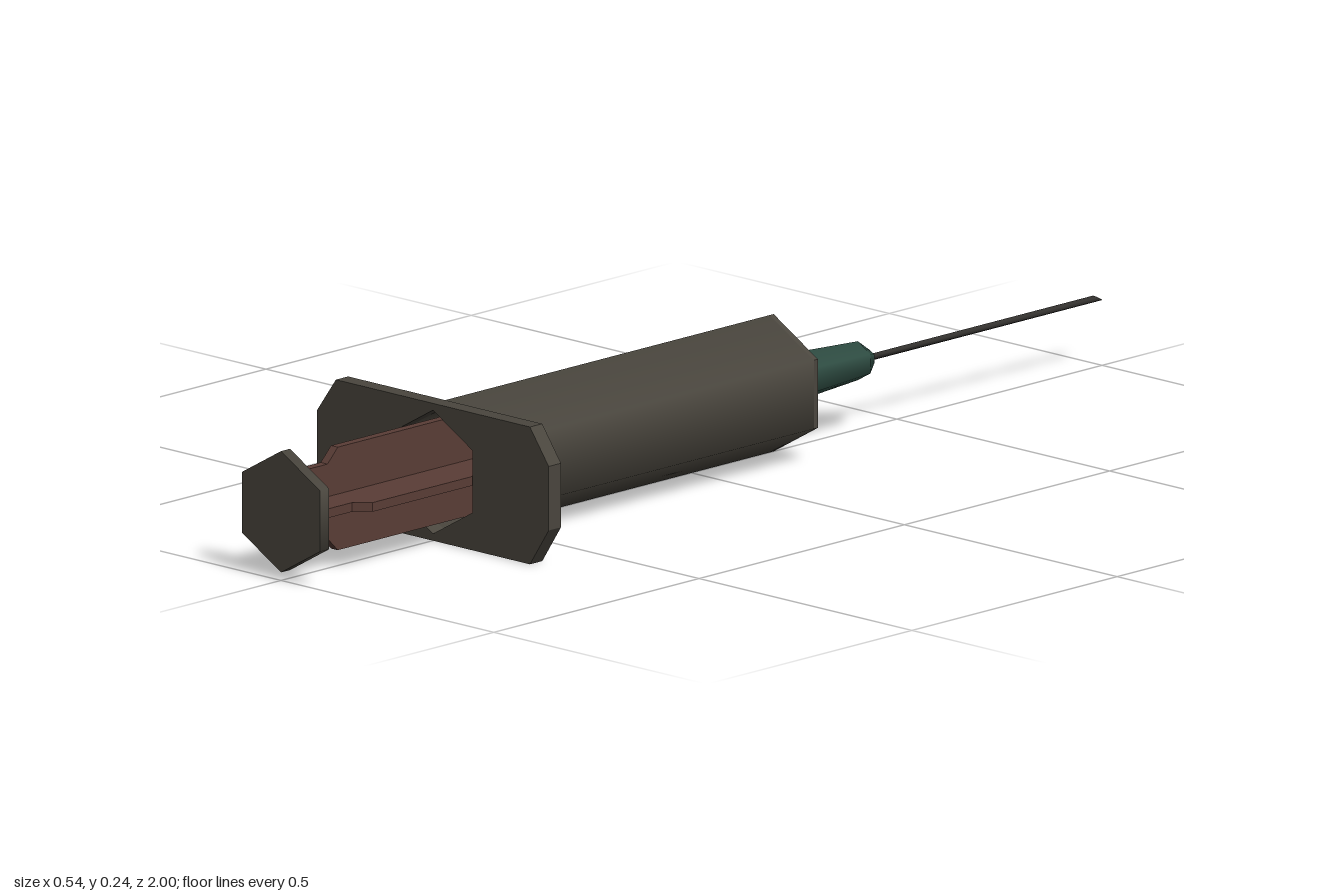
import * as THREE from 'three';

const CY = 0.12; // height of the long axis

export function createModel() {
  const model = new THREE.Group();
  const mat = (name, color) => {
    const m = new THREE.MeshStandardMaterial({ color, side: THREE.DoubleSide });
    m.name = name;
    return m;
  };
  const grey = mat('warm grey', 0x4a463e);
  const brown = mat('plunger brown', 0x5a3d36);
  const green = mat('hub green', 0x2f4d43);
  const steel = mat('needle steel', 0x34322f);

  const add = (name, geometry, material, z = 0) => {
    const mesh = new THREE.Mesh(geometry, material);
    mesh.name = name;
    mesh.position.set(0, CY, z);
    model.add(mesh);
    return mesh;
  };
  // Hexagonal tube along z, corners up and down; r0 at z0 (rear), r1 at z1 (front)
  const hex = (name, material, z0, r0, z1, r1, open = false) => {
    const g = new THREE.CylinderGeometry(r1, r0, z1 - z0, 6, 1, open).rotateX(Math.PI / 2);
    return add(name, g, material, (z0 + z1) / 2);
  };
  const extrude = (shape, depth) =>
    new THREE.ExtrudeGeometry(shape, { depth, bevelEnabled: false });
  const hexPoints = (r) => Array.from({ length: 6 }, (_, i) => {
    const a = Math.PI / 2 + i * Math.PI / 3;
    return new THREE.Vector2(r * Math.cos(a), r * Math.sin(a));
  });

  // Hollow barrel with a closed needle end
  hex('barrel', grey, -0.2, 0.12, 0.6, 0.12, true);
  hex('barrelBore', grey, -0.18, 0.108, 0.6, 0.108, true);
  add('barrelEnd', extrude(new THREE.Shape(hexPoints(0.12)), 0.01), grey, -0.2);

  // Finger flange with clipped corners and a hexagonal opening
  const flange = new THREE.Shape([
    [0.228, -0.12], [0.272, -0.053], [0.272, 0.059], [0.228, 0.12],
    [-0.228, 0.12], [-0.272, 0.059], [-0.272, -0.053], [-0.228, -0.12],
  ].map(([x, y]) => new THREE.Vector2(x, y)));
  flange.holes.push(new THREE.Path(hexPoints(0.108)));
  add('fingerFlange', extrude(flange, 0.03), grey, 0.6);

  // Plunger: two crossed fins that narrow near the thumb rest
  const fin = new THREE.Shape([
    [0.09, -0.03], [0.09, 0.87], [0.065, 0.895], [0.065, 0.98],
    [-0.065, 0.98], [-0.065, 0.895], [-0.09, 0.87], [-0.09, -0.03],
  ].map(([x, z]) => new THREE.Vector2(x, z)));
  for (const [name, angle] of [['plungerFinFlat', 0], ['plungerFinUpright', Math.PI / 2]]) {
    const g = extrude(fin, 0.016).translate(0, 0, -0.008);
    g.rotateX(Math.PI / 2).rotateZ(angle);
    add(name, g, brown);
  }
  hex('plungerStopper', brown, -0.08, 0.106, -0.03, 0.106);
  hex('thumbRest', grey, 0.978, 0.106, 1, 0.106);

  // Nozzle and needle hub
  hex('nozzle', grey, -0.24, 0.035, -0.2, 0.035);
  hex('hubCollar', green, -0.24, 0.05, -0.228, 0.05);
  hex('hubBody', green, -0.405, 0.034, -0.24, 0.044);
  hex('hubTip', green, -0.433, 0.014, -0.405, 0.034);

  // Needle with a slanted point
  const needle = new THREE.CylinderGeometry(0.006, 0.006, 0.58, 6).rotateX(Math.PI / 2);
  const p = needle.attributes.position;
  for (let i = 0; i < p.count; i++) {
    if (p.getZ(i) < 0) p.setZ(i, p.getZ(i) + (p.getY(i) + 0.006) * 1.8);
  }
  needle.computeVertexNormals();
  add('needle', needle, steel, -0.71);

  return model;
}
